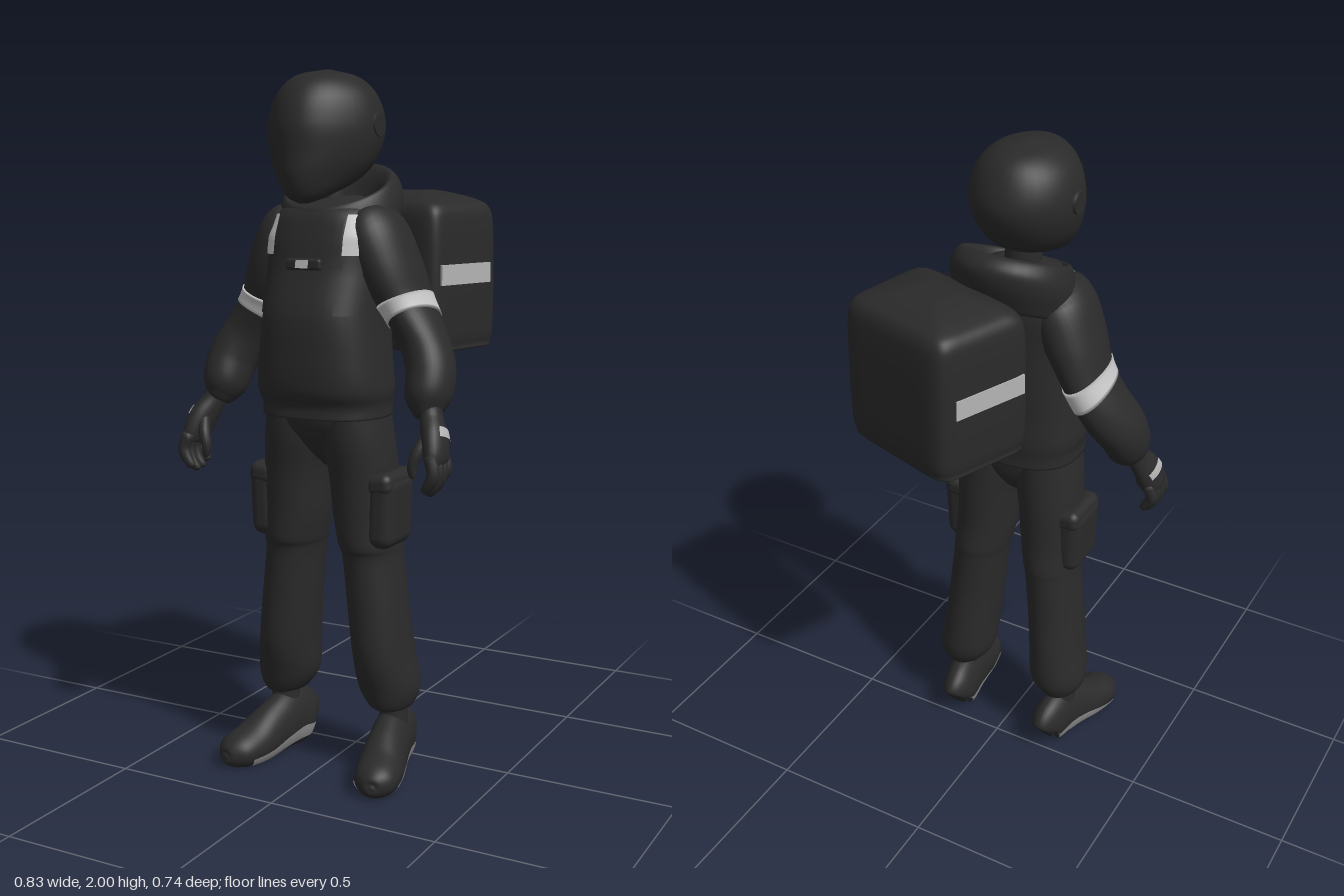
import * as THREE from 'three';
import { RoundedBoxGeometry } from 'three/addons/geometries/RoundedBoxGeometry.js';

// Skin elliptical sections [x, y, z, radiusU, radiusV] along a smooth path.
// flat: horizontal rings, n: squareness, from/to/arc/grow/slant: a raised, tilted part of the surface.
function loft(sections, { flat = false, n = 2, from = 0, to = 1, arc = null, grow = 0, slant = 0, rows = 40, cols = 36 } = {}) {
  const path = new THREE.CatmullRomCurve3(sections.map(s => new THREE.Vector3(s[0], s[1], s[2])), false, 'catmullrom', 0.5);
  const radii = new THREE.CatmullRomCurve3(sections.map(s => new THREE.Vector3(s[3], s[4], 0)), false, 'catmullrom', 0.5);
  const [a0, a1] = arc || [0, Math.PI * 2];
  const count = arc ? cols + 1 : cols;
  const pos = [], index = [];
  const power = c => Math.sign(c) * Math.pow(Math.abs(c), 2 / n);
  for (let i = 0; i <= rows; i++) for (let j = 0; j < count; j++) {
    const a = a0 + (a1 - a0) * j / cols;
    const k = from + (to - from) * i / rows + slant * Math.sin(a);
    const p = path.getPoint(k), r = radii.getPoint(k);
    const t = flat ? new THREE.Vector3(0, 1, 0) : path.getTangent(k);
    const u = new THREE.Vector3(1, 0, 0).addScaledVector(t, -t.x).normalize();
    const v = new THREE.Vector3().crossVectors(u, t);
    p.addScaledVector(u, (Math.max(r.x, 0.002) + grow) * power(Math.cos(a)))
      .addScaledVector(v, (Math.max(r.y, 0.002) + grow) * power(Math.sin(a)));
    pos.push(p.x, p.y, p.z);
  }
  for (let i = 0; i < rows; i++) for (let j = 0; j < cols; j++) {
    const a = i * count + j, c = i * count + (j + 1) % count;
    index.push(a, a + count, c, c, a + count, c + count);
  }
  if (!arc) {
    const c0 = pos.length / 3, last = rows * count;
    pos.push(...path.getPoint(from).toArray(), ...path.getPoint(to).toArray());
    for (let j = 0; j < cols; j++) {
      const k = (j + 1) % count;
      index.push(c0, j, k, c0 + 1, last + k, last + j);
    }
  }
  const g = new THREE.BufferGeometry();
  g.setAttribute('position', new THREE.Float32BufferAttribute(pos, 3));
  g.setIndex(index);
  g.computeVertexNormals();
  return g;
}

// Move every vertex by a rule
function warp(g, rule) {
  const p = g.attributes.position, v = new THREE.Vector3();
  for (let i = 0; i < p.count; i++) {
    rule(v.fromBufferAttribute(p, i));
    p.setXYZ(i, v.x, v.y, v.z);
  }
  g.computeVertexNormals();
  return g;
}

// Mirror across x = 0, keeping faces outward
function mirror(geometry) {
  const g = geometry.index ? geometry.toNonIndexed() : geometry.clone();
  for (const name of ['position', 'normal']) {
    const b = g.attributes[name];
    for (let i = 0; i < b.count; i += 3) {
      const p = [0, 2, 1].map(k => [-b.getX(i + k), b.getY(i + k), b.getZ(i + k)]);
      p.forEach((q, k) => b.setXYZ(i + k, ...q));
    }
  }
  return g;
}

const TORSO = [[0, 1.05, .17, .184, .148], [0, 1.085, .17, .184, .148], [0, 1.13, .178, .192, .16], [0, 1.22, .18, .184, .163],
  [0, 1.34, .172, .172, .166], [0, 1.46, .15, .172, .15], [0, 1.55, .138, .178, .143], [0, 1.62, .13, .15, .125], [0, 1.66, .125, .07, .06]];
const TORSO_N = 2.5;

// Thin plate lying on the chest
function chestPatch(x0, x1, y0, y1, lift) {
  const g = new THREE.PlaneGeometry(x1 - x0, y1 - y0, 12, 12).translate((x0 + x1) / 2, (y0 + y1) / 2, 0);
  return warp(g, v => {
    let i = 0;
    while (i < TORSO.length - 2 && TORSO[i + 1][1] < v.y) i++;
    const A = TORSO[i], B = TORSO[i + 1], k = (v.y - A[1]) / (B[1] - A[1]);
    const m = c => A[c] + (B[c] - A[c]) * k;
    v.z = m(2) + m(4) * Math.pow(Math.max(0, 1 - Math.pow(Math.abs(v.x) / m(3), TORSO_N)), 1 / TORSO_N) + lift;
  });
}

export function createModel() {
  const model = new THREE.Group();
  model.name = 'courier';
  const make = (name, color) => {
    const m = new THREE.MeshStandardMaterial({ color, side: THREE.DoubleSide });
    m.name = name;
    return m;
  };
  const charcoal = make('charcoal', 0x2a2a2a);
  const silver = make('bright silver', 0xc4c4c4);
  const pale = make('pale grey', 0xb4b4b4);
  const grey = make('mid grey', 0x8a8a8a);
  const add = (name, geometry, material = charcoal, parent = model) => {
    const mesh = new THREE.Mesh(geometry, material);
    mesh.name = name;
    parent.add(mesh);
  };
  const pair = (name, geometry, material) => {
    add(name + 'Left', geometry, material);
    add(name + 'Right', mirror(geometry), material);
  };

  // Egg-shaped helmet, narrower at the face, with raised visor and hinges
  const helmet = [[0, 1.64, .3, .015, .015], [0, 1.66, .285, .065, .06], [0, 1.71, .222, .115, .14], [0, 1.77, .193, .148, .172],
    [0, 1.85, .178, .16, .187], [0, 1.93, .176, .138, .162], [0, 1.98, .172, .085, .11], [0, 2, .165, .01, .015]];
  const narrowFace = v => { v.x *= 1 - 1.3 * Math.max(0, v.z - .2); };
  add('helmet', warp(loft(helmet, { flat: true }), narrowFace));
  add('visor', warp(loft(helmet, { flat: true, from: .22, to: .7, arc: [.45, Math.PI - .45], grow: .003 }), narrowFace));
  pair('visorHinge', new THREE.CylinderGeometry(.031, .036, .02, 24).rotateZ(-Math.PI / 2).translate(.152, 1.85, .165));
  add('neck', new THREE.CylinderGeometry(.05, .055, .2, 24).translate(0, 1.68, .15));

  // Jacket body and tilted hood collar
  add('jacket', loft(TORSO, { flat: true, n: TORSO_N, rows: 56 }));
  const hood = [[0, 1.53, .1, .165, .15], [0, 1.6, .098, .178, .178], [0, 1.65, .095, .172, .175], [0, 1.69, .105, .152, .148],
    [0, 1.67, .11, .128, .125], [0, 1.6, .11, .1, .1], [0, 1.56, .11, .07, .07]];
  add('hoodCollar', warp(loft(hood, { flat: true }), v => { v.y -= (v.z - .1) * .42; }));

  // Harness on the chest
  pair('shoulderStrap', chestPatch(.1, .152, 1.34, 1.63, .006));
  pair('strapPatch', chestPatch(.107, .145, 1.5, 1.61, .012), silver);
  add('chestStrap', chestPatch(-.11, .11, 1.464, 1.492, .008));
  add('chestClip', new RoundedBoxGeometry(.11, .032, .024, 3, .009).translate(0, 1.476, .3));
  add('chestBuckle', chestPatch(-.02, .02, 1.466, 1.488, .019), pale);

  // Sleeves with bright bands, lower at the back
  const arm = [[.1, 1.6, .135, .05, .08], [.135, 1.56, .138, .08, .115], [.18, 1.46, .13, .08, .12], [.228, 1.36, .12, .066, .104],
    [.28, 1.27, .13, .066, .093], [.32, 1.19, .165, .068, .083], [.328, 1.12, .2, .063, .072], [.335, 1.085, .215, .044, .05], [.34, 1.07, .22, .03, .035]];
  pair('sleeve', loft(arm));
  pair('sleeveBand', loft(arm, { from: .358, to: .426, slant: .022, grow: .004, rows: 6 }), silver);

  // Gloves: palm, four fingers, thumb and a small tag
  const palm = [[.34, 1.12, .212, .032, .036], [.35, 1.07, .225, .032, .038], [.372, 1.02, .25, .035, .05], [.386, .97, .268, .031, .052], [.388, .95, .27, .02, .045]];
  pair('glove', loft(palm, { rows: 20, cols: 24 }));
  pair('gloveTag', loft(palm, { from: .44, to: .54, arc: [-.7, .7], grow: .004, rows: 4 }), pale);
  for (let i = 0; i < 4; i++) {
    const z = .228 + i * .027, drop = [.015, 0, -.004, .008][i];
    pair('finger' + (i + 1), loft([[.384, .98, z, .018, .017], [.398, .94, z + .004, .018, .017],
      [.392, .905 + drop, z + .006, .017, .016], [.373, .877 + drop, z + .004, .012, .012], [.37, .872 + drop, z + .004, .003, .003]], { rows: 12, cols: 12 }));
  }
  pair('thumb', loft([[.36, 1.03, .26, .015, .018], [.342, .985, .292, .017, .017], [.33, .945, .3, .014, .014],
    [.332, .918, .3, .009, .009], [.333, .914, .3, .002, .002]], { rows: 12, cols: 14 }));

  // Trousers with cargo pockets
  add('trouserSeat', loft([[0, .9, .155, .01, .03], [0, .94, .157, .045, .078], [0, .98, .16, .1, .105], [0, 1.03, .167, .175, .122], [0, 1.09, .17, .165, .13]],
    { flat: true, rows: 24 }));
  pair('trouserLeg', loft([[.178, .185, .11, .04, .06], [.176, .2, .11, .065, .08], [.168, .255, .108, .089, .1], [.156, .36, .122, .086, .111],
    [.142, .5, .13, .085, .106], [.127, .64, .133, .084, .105], [.122, .68, .139, .088, .112], [.113, .76, .145, .093, .109],
    [.106, .88, .15, .097, .112], [.094, .98, .16, .1, .118], [.09, 1.07, .165, .09, .12]], { flat: true, rows: 60 }));
  pair('cargoPocket', new RoundedBoxGeometry(.085, .21, .165, 5, .036).rotateZ(-.04).translate(.19, .785, .155));
  pair('pocketFlap', new RoundedBoxGeometry(.08, .065, .17, 4, .026).rotateZ(.12).translate(.191, .865, .155));

  // Shoes with grey sole strips
  pair('ankle', new THREE.CylinderGeometry(.038, .045, .12, 24).translate(.183, .17, .11));
  const shoe = [[.165, .055, .012, .028, .055], [.168, .072, .035, .05, .085], [.178, .085, .1, .056, .096], [.192, .073, .17, .06, .085],
    [.212, .05, .25, .066, .066], [.23, .04, .32, .06, .05], [.238, .035, .355, .03, .028], [.24, .035, .363, .005, .005]];
  const flatSole = g => warp(g, v => { v.y = Math.max(v.y, 0); });
  pair('shoe', flatSole(loft(shoe)));
  pair('outerSoleStrip', flatSole(loft(shoe, { from: .06, to: .69, arc: [.2, .66], grow: .004, cols: 6 })), grey);
  pair('innerSoleStrip', flatSole(loft(shoe, { from: .06, to: .69, arc: [Math.PI - .66, Math.PI - .2], grow: .004, cols: 6 })), grey);

  // Delivery bag, turned on the back and wider toward the wearer
  const bag = new THREE.Group();
  bag.name = 'deliveryBag';
  bag.position.set(.1, 1.44, -.172);
  bag.rotation.y = -.3;
  model.add(bag);
  const taper = v => { v.x *= 1 + .35 * v.z; };
  add('bagBody', warp(loft([[0, -.225, 0, .02, .02], [0, -.225, 0, .19, .135], [0, -.205, 0, .208, .154], [0, -.15, 0, .214, .16], [0, 0, 0, .215, .16],
    [0, .13, 0, .212, .157], [0, .185, 0, .2, .146], [0, .21, 0, .16, .115], [0, .232, 0, .07, .05], [0, .234, 0, .01, .01]],
  { flat: true, n: 8, cols: 64, rows: 54 }), taper), charcoal, bag);
  for (const s of [-1, 1]) {
    add(s > 0 ? 'bagStripeLeft' : 'bagStripeRight',
      warp(new THREE.BoxGeometry(.009, .058, .23).translate(s * .2135, -.003, .008), taper), pale, bag);
  }
  return model;
}
